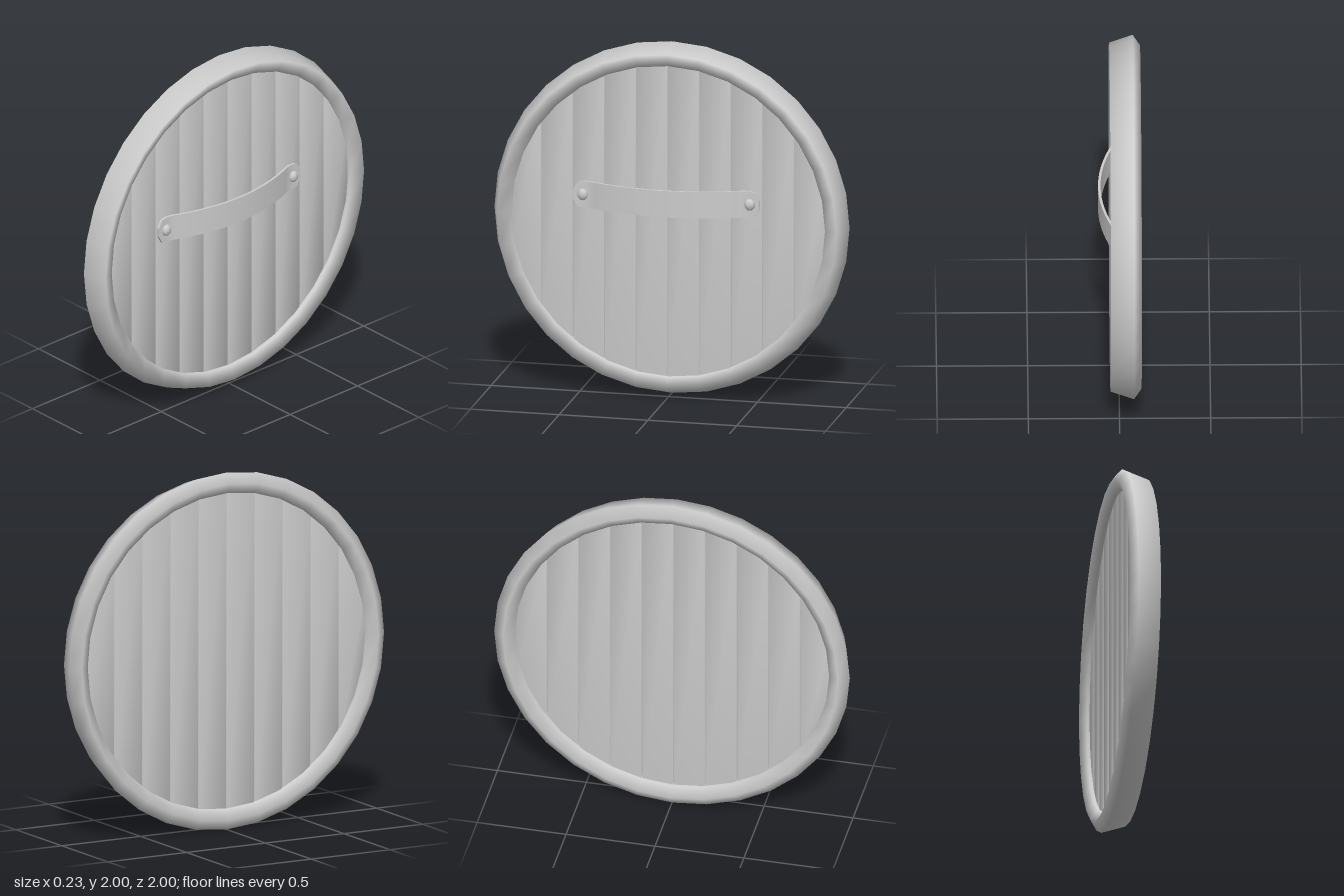
import * as THREE from 'three';
import { mergeVertices } from 'three/addons/utils/BufferGeometryUtils.js';

const material = new THREE.MeshStandardMaterial({ color: 0xcccccc });

// Weld all corners so the shading runs softly round the edges.
function soften(geometry) {
  geometry.deleteAttribute('normal');
  geometry.deleteAttribute('uv');
  const welded = mergeVertices(geometry, 1e-4);
  welded.computeVertexNormals();
  return welded;
}

// Move every vertex of a geometry by a rule.
function reshape(geometry, rule) {
  const p = geometry.attributes.position;
  const v = new THREE.Vector3();
  for (let i = 0; i < p.count; i++) {
    rule(v.fromBufferAttribute(p, i));
    p.setXYZ(i, v.x, v.y, v.z);
  }
  geometry.computeVertexNormals();
  return geometry;
}

function addMesh(parent, name, geometry) {
  const mesh = new THREE.Mesh(geometry, material);
  mesh.name = name;
  parent.add(mesh);
  return mesh;
}

export function createModel() {
  const shield = new THREE.Group();
  shield.name = 'roundShield';

  // Rim: faceted ring around the x axis, profile given as (radius, x)
  const profile = [
    [0.942, -0.12], [1, -0.08], [0.957, 0.05], [0.885, 0.02], [0.885, -0.085], [0.942, -0.12],
  ].map(([r, x]) => new THREE.Vector2(r, x));
  const rim = new THREE.LatheGeometry(profile, 32);
  rim.rotateZ(-Math.PI / 2);
  addMesh(shield, 'rim', soften(rim)).position.y = 1;

  // Planks: upright boards, their ends cut to follow the rim
  const planks = new THREE.Group();
  planks.name = 'planks';
  const pitch = 0.178, gap = 0.006, plankRadius = 0.93;
  for (let i = 0; i < 10; i++) {
    const z = (i - 4.5) * pitch + 0.006;
    const board = reshape(new THREE.BoxGeometry(0.07, 2, pitch - gap), (v) => {
      v.z += z;
      v.y *= Math.sqrt(Math.max(0.03, plankRadius ** 2 - v.z ** 2));
    });
    addMesh(planks, 'plank', soften(board)).position.set(-0.035, 1, 0);
  }
  shield.add(planks);

  // Grip: strap bowed away from the boards, with rounded flat ends
  const handle = new THREE.Group();
  handle.name = 'handle';
  const half = 0.525, corner = 0.05;
  const strap = reshape(new THREE.BoxGeometry(0.014, 0.15, half * 2, 1, 1, 42), (v) => {
    const into = Math.max(0, Math.abs(v.z) - (half - corner));
    const trim = corner - Math.sqrt(Math.max(0, corner ** 2 - into ** 2));
    v.y -= Math.sign(v.y) * trim;
    v.x += Math.max(0.012, 0.107 - 0.5 * v.z ** 2);
  });
  addMesh(handle, 'strap', strap);

  // Studs holding the strap
  for (const z of [-0.47, 0.47]) {
    const stud = new THREE.SphereGeometry(0.034, 8, 6);
    stud.scale(0.7, 1, 0.9);
    addMesh(handle, 'stud', stud).position.set(0.018, 0, z);
  }
  handle.position.set(0, 1.125, 0.01);
  shield.add(handle);

  return shield;
}
